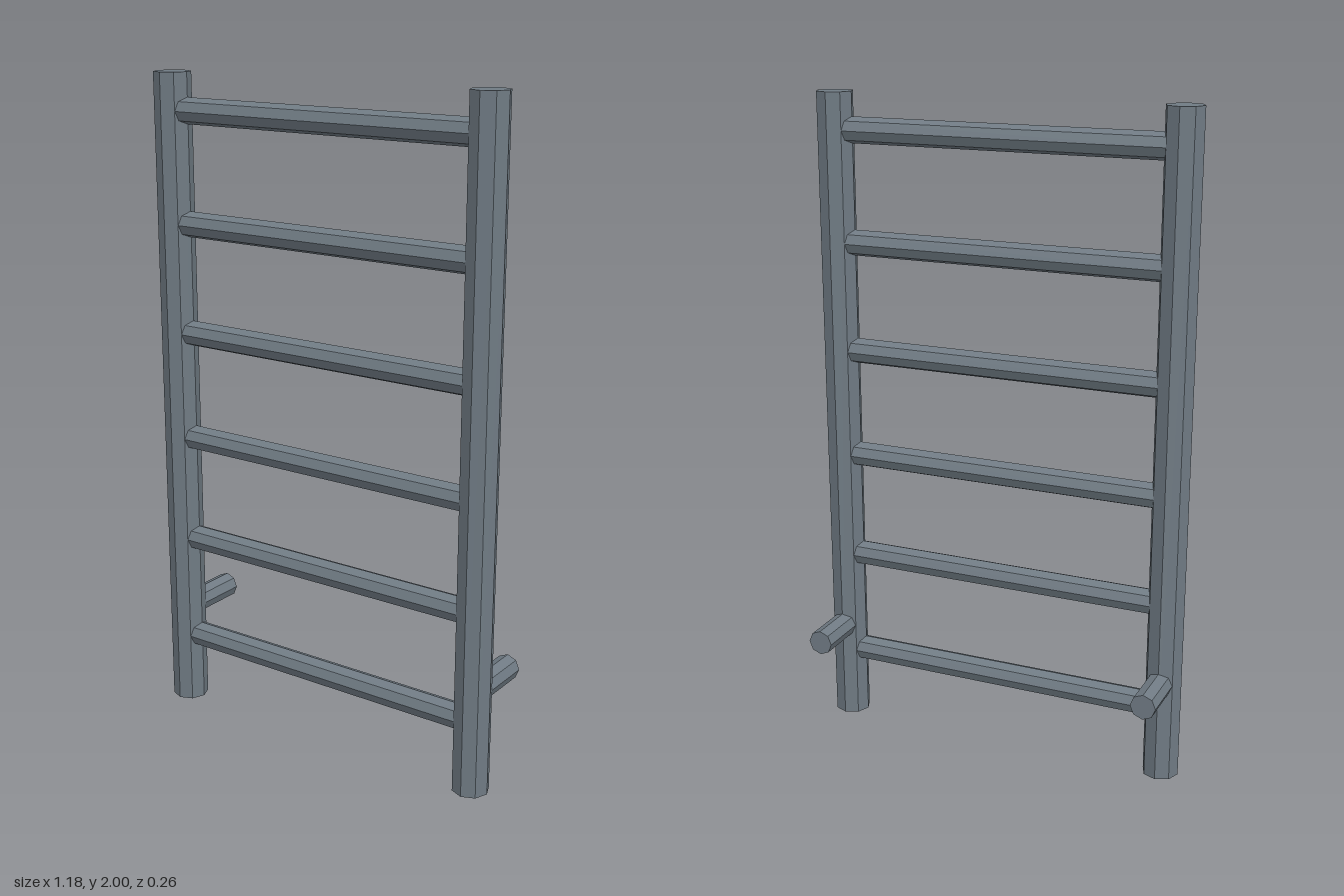
import * as THREE from 'three';

export function createModel() {
  const ladder = new THREE.Group();
  ladder.name = 'ladder';

  const steel = new THREE.MeshStandardMaterial({ color: 0x707b84, flatShading: true });
  steel.name = 'greySteel';

  const postX = 0.533, postZ = 0.072;
  const postRadius = 0.0556, barRadius = 0.039;

  // Eight-sided bar, centred on its position
  function bar(name, radius, length, x, y, z) {
    const mesh = new THREE.Mesh(new THREE.CylinderGeometry(radius, radius, length, 8), steel);
    mesh.name = name;
    mesh.position.set(x, y, z);
    ladder.add(mesh);
    return mesh;
  }

  // Side posts, each with a short wall bracket pointing back
  for (const [side, sign] of [['left', 1], ['right', -1]]) {
    bar(side + 'Post', postRadius, 2, sign * postX, 1, postZ);
    const bracket = bar(side + 'Bracket', barRadius, 0.2, sign * postX, 0.312, postZ - 0.1);
    bracket.rotation.x = Math.PI / 2;
  }

  // Six evenly spaced rungs running between the post centres
  for (let i = 0; i < 6; i++) {
    const rung = bar('rung' + (i + 1), barRadius, 2 * postX, 0, 0.222 + i / 3, postZ);
    rung.rotation.z = Math.PI / 2;
  }

  return ladder;
}
